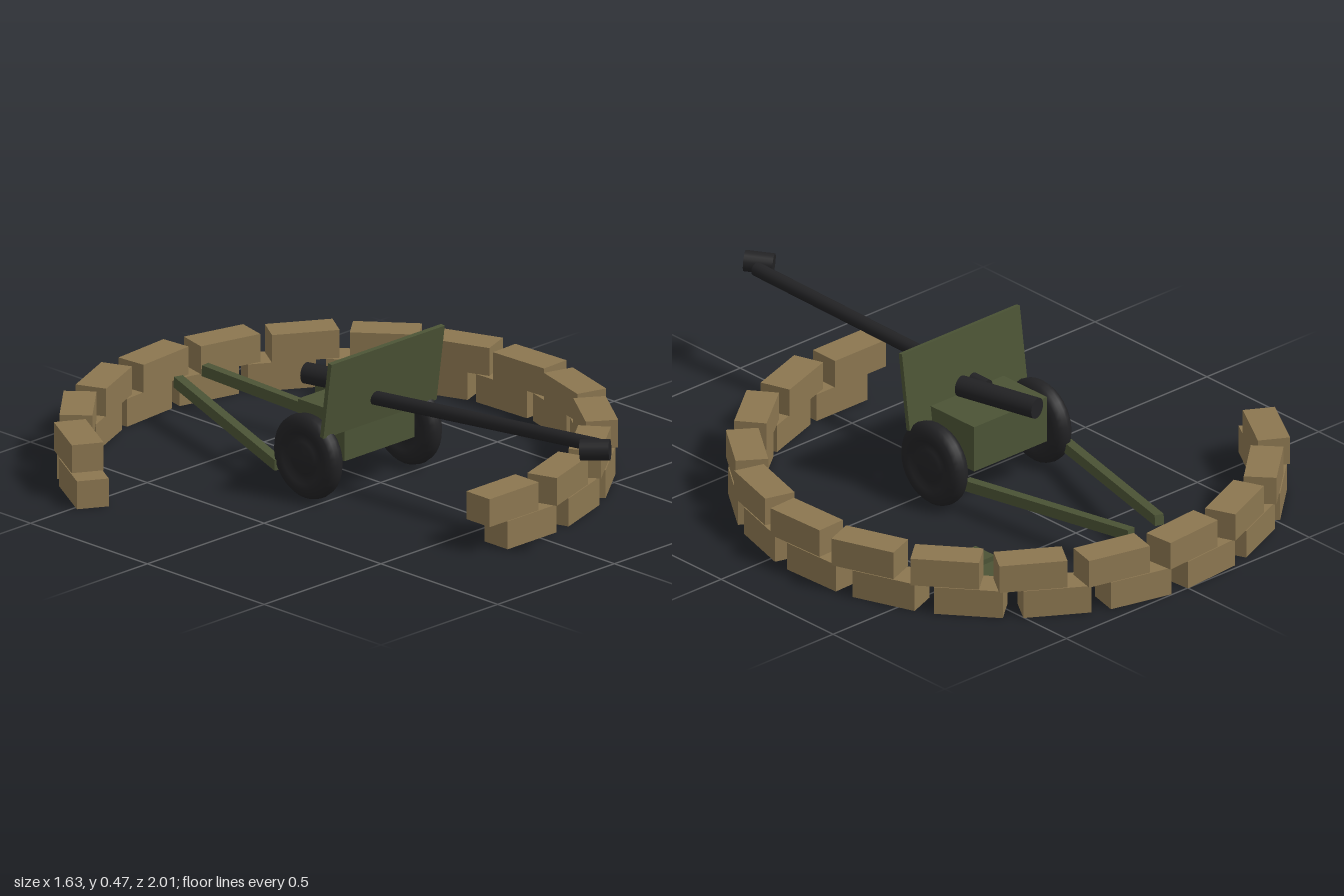
import * as THREE from 'three';

const mat = (name, color) => {
  const m = new THREE.MeshStandardMaterial({ color });
  m.name = name;
  return m;
};

export function createModel() {
  const root = new THREE.Group();
  root.name = 'gunEmplacement';
  const sand = mat('sandbag tan', 0x8b7650);
  const olive = mat('olive paint', 0x4b5335);
  const dark = mat('dark metal', 0x222224);
  const CX = -0.035; // centre line of the gun and of the sandbag ring

  const add = (name, geometry, material, parent = root) => {
    const mesh = new THREE.Mesh(geometry, material);
    mesh.name = name;
    parent.add(mesh);
    return mesh;
  };
  // Bar or cylinder stretched along z between two points
  const between = (mesh, a, b) => {
    mesh.position.copy(a).add(b).multiplyScalar(0.5);
    mesh.lookAt(b);
    return mesh;
  };
  const rod = (name, r, a, b, material, parent) => {
    const g = new THREE.CylinderGeometry(r, r, a.distanceTo(b), 20).rotateX(Math.PI / 2);
    return between(add(name, g, material, parent), a, b);
  };
  const V = (x, y, z) => new THREE.Vector3(x, y, z);

  // Sandbag wall: two courses over 240 degrees, the upper one shifted
  const wall = new THREE.Group();
  wall.name = 'sandbagWall';
  root.add(wall);
  const bagGeo = new THREE.BoxGeometry(0.21, 0.09, 0.1);
  const bags = 14;
  for (let course = 0; course < 2; course++) {
    for (let i = 0; i < bags; i++) {
      const turn = (i / (bags - 1)) * (Math.PI * 4 / 3);
      const a = turn - course * 0.093;
      const bag = add('sandbag', bagGeo, sand, wall);
      bag.position.set(CX + 0.79 * Math.sin(a), 0.045 + course * 0.09, -0.157 + 0.79 * Math.cos(a));
      bag.rotation.y = turn;
    }
  }

  // Gun, built around its own centre line
  const gun = new THREE.Group();
  gun.name = 'fieldGun';
  gun.position.x = CX;
  root.add(gun);

  add('carriage', new THREE.BoxGeometry(0.3, 0.15, 0.2), olive, gun).position.set(0, 0.2, -0.07);
  const shield = add('shield', new THREE.BoxGeometry(0.485, 0.25, 0.015), olive, gun);
  shield.position.set(0, 0.347, 0.042);
  shield.rotation.x = 0.14;

  // Barrel, breech and muzzle
  rod('breech', 0.033, V(0, 0.307, -0.256), V(0, 0.307, 0.02), dark, gun);
  rod('barrel', 0.022, V(0, 0.297, -0.03), V(0, 0.364, 0.93), dark, gun);
  rod('muzzleBrake', 0.033, V(0, 0.362, 0.908), V(0, 0.368, 0.998), dark, gun);
  rod('axle', 0.018, V(-0.2, 0.135, -0.06), V(0.2, 0.135, -0.06), dark, gun);

  // Wheel section: rounded tyre with a recessed disc and a hub
  const profile = [
    [0, -0.033], [0.045, -0.033], [0.05, -0.022], [0.072, -0.022], [0.082, -0.031], [0.1, -0.033],
    [0.12, -0.027], [0.132, -0.014], [0.135, 0], [0.132, 0.014], [0.12, 0.027],
    [0.1, 0.033], [0.082, 0.031], [0.072, 0.022], [0.05, 0.022], [0.045, 0.033], [0, 0.033],
  ].map(([r, y]) => new THREE.Vector2(r, y));
  const wheelGeo = new THREE.LatheGeometry(profile, 32).rotateZ(Math.PI / 2);

  for (const s of [-1, 1]) {
    add('wheel', wheelGeo, dark, gun).position.set(s * 0.213, 0.135, -0.062);
    // Split trail leg, closing towards the rear
    const a = V(s * 0.2, 0.083, -0.16), b = V(s * 0.063, 0.135, -0.81);
    const leg = add('trailLeg', new THREE.BoxGeometry(0.03, 0.035, a.distanceTo(b)), olive, gun);
    between(leg, a, b);
  }

  // Ammunition crates
  for (const z of [-0.612, -0.502]) {
    add('ammunitionCrate', new THREE.BoxGeometry(0.15, 0.07, 0.086), olive).position.set(0.45, 0.035, z);
  }
  return root;
}
